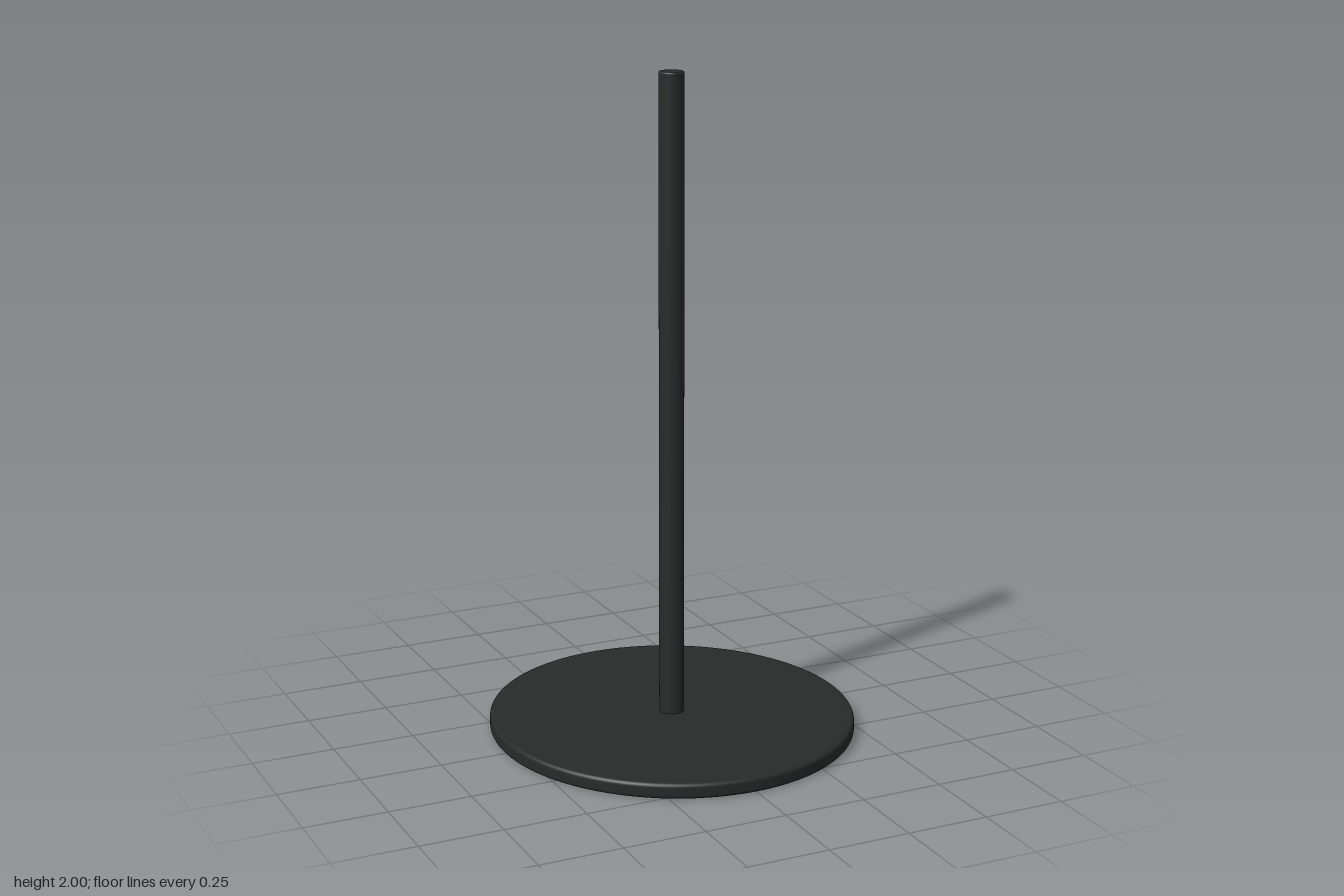
import * as THREE from 'three';

// Solid round bar or disc with softly rounded top and bottom rims
function roundedDisc(radius, y0, y1, bevel, hold) {
  const pts = [new THREE.Vector2(0, y0)];
  const add = (x, y) => pts.push(new THREE.Vector2(x, y));
  const steps = 5;
  if (hold) add(radius - bevel - hold, y0);
  for (let i = 0; i <= steps; i++) {
    const a = (i / steps) * Math.PI / 2;
    add(radius - bevel + bevel * Math.sin(a), y0 + bevel - bevel * Math.cos(a));
  }
  for (let i = 0; i <= steps; i++) {
    const a = (i / steps) * Math.PI / 2;
    add(radius - bevel + bevel * Math.cos(a), y1 - bevel + bevel * Math.sin(a));
  }
  // Support ring keeps the broad faces shading flat
  if (hold) add(radius - bevel - hold, y1);
  add(0, y1);
  return new THREE.LatheGeometry(pts, 96);
}

export function createModel() {
  const group = new THREE.Group();
  group.name = 'poleStand';
  const material = new THREE.MeshStandardMaterial({ color: 0x262b2a });

  const addPart = (name, geometry) => {
    const mesh = new THREE.Mesh(geometry, material);
    mesh.name = name;
    group.add(mesh);
  };

  // Wide base plate, slightly oval
  addPart('basePlate', roundedDisc(0.577, 0, 0.047, 0.012, 0.01).scale(0.957, 1, 1));

  // Upright pole standing on the plate
  addPart('pole', roundedDisc(0.039, 0.04, 2, 0.006, 0).scale(0.957, 1, 1));

  return group;
}
